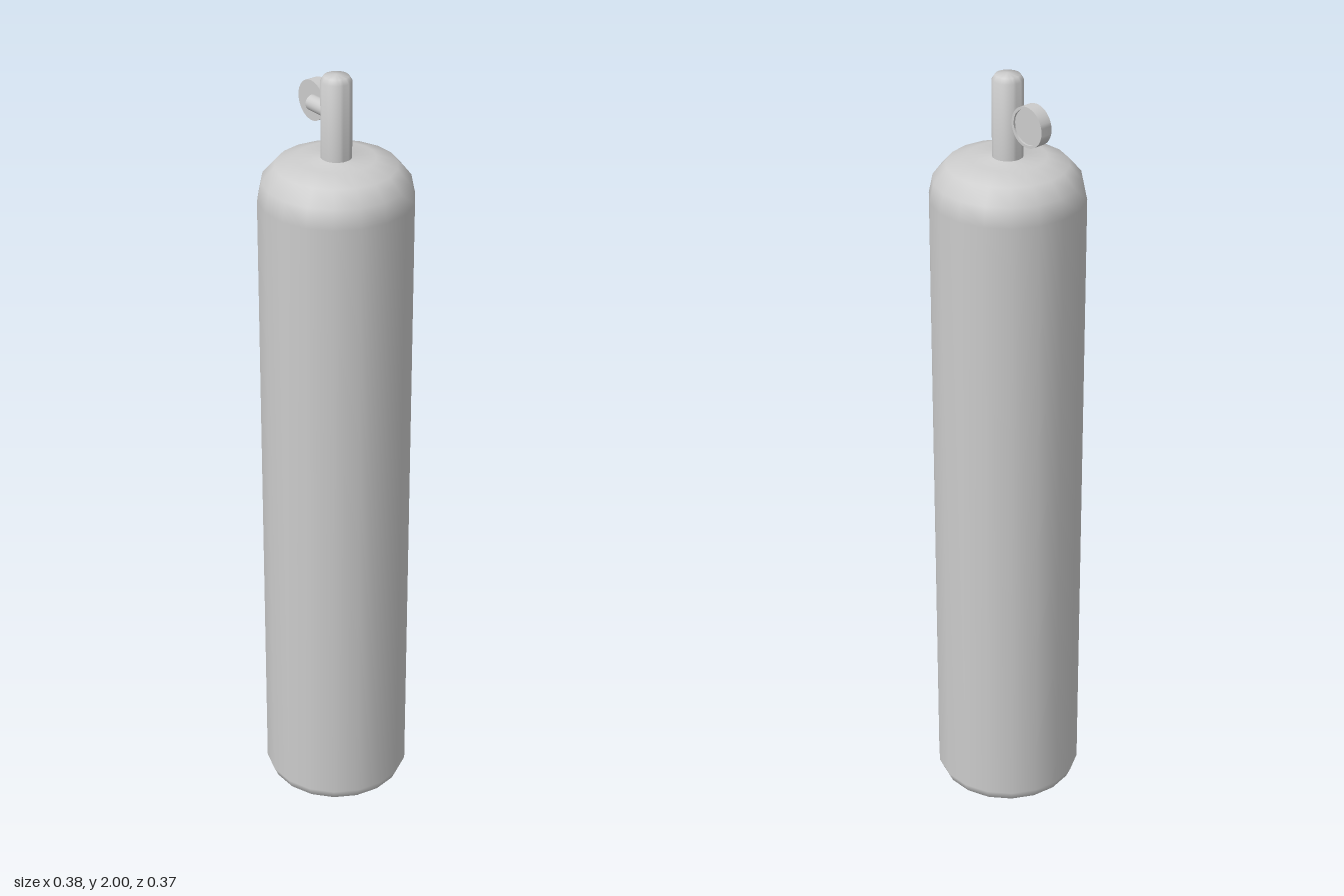
import * as THREE from 'three';
import { toCreasedNormals } from 'three/addons/utils/BufferGeometryUtils.js';

const material = new THREE.MeshStandardMaterial({ color: 0xcccccc });

// Turned part from [radius, height] pairs, listed bottom to top
function turned(name, profile, sides, crease) {
  const points = profile.map(([r, y]) => new THREE.Vector2(r, y));
  let geometry = new THREE.LatheGeometry(points, sides, Math.PI / 2);
  if (crease) geometry = toCreasedNormals(geometry, crease);
  const mesh = new THREE.Mesh(geometry, material);
  mesh.name = name;
  return mesh;
}

export function createModel() {
  const model = new THREE.Group();
  model.name = 'gasCylinder';

  // Tank with a bevelled foot and a rounded shoulder running into the neck
  model.add(turned('tank', [
    [0, 0], [0.165, 0], [0.178, 0.008], [0.19, 0.035],
    [0.19, 1.69], [0.18, 1.738], [0.148, 1.775], [0.095, 1.793],
    [0.037, 1.794], [0.036, 1.81],
  ], 18));

  // Valve stem with a softly rounded top
  model.add(turned('valveStem', [
    [0.0375, 1.78], [0.0375, 1.984], [0.03, 1.996], [0, 2],
  ], 32, 0.9));

  // Short outlet pipe on the side of the stem
  const outlet = new THREE.Mesh(
    new THREE.CylinderGeometry(0.019, 0.019, 0.09, 24), material);
  outlet.name = 'outletPipe';
  outlet.rotation.z = Math.PI / 2;
  outlet.position.set(-0.045, 1.903, 0.003);
  model.add(outlet);

  // Round gauge behind the pipe, its rimmed dial facing backwards
  const gauge = turned('gauge', [
    [0, 0], [0.05, 0], [0.05, 0.032], [0.043, 0.032], [0.043, 0.027], [0, 0.027],
  ], 32, 0.6);
  gauge.rotation.x = -Math.PI / 2;
  gauge.position.set(-0.1, 1.903, -0.003);
  model.add(gauge);

  return model;
}
